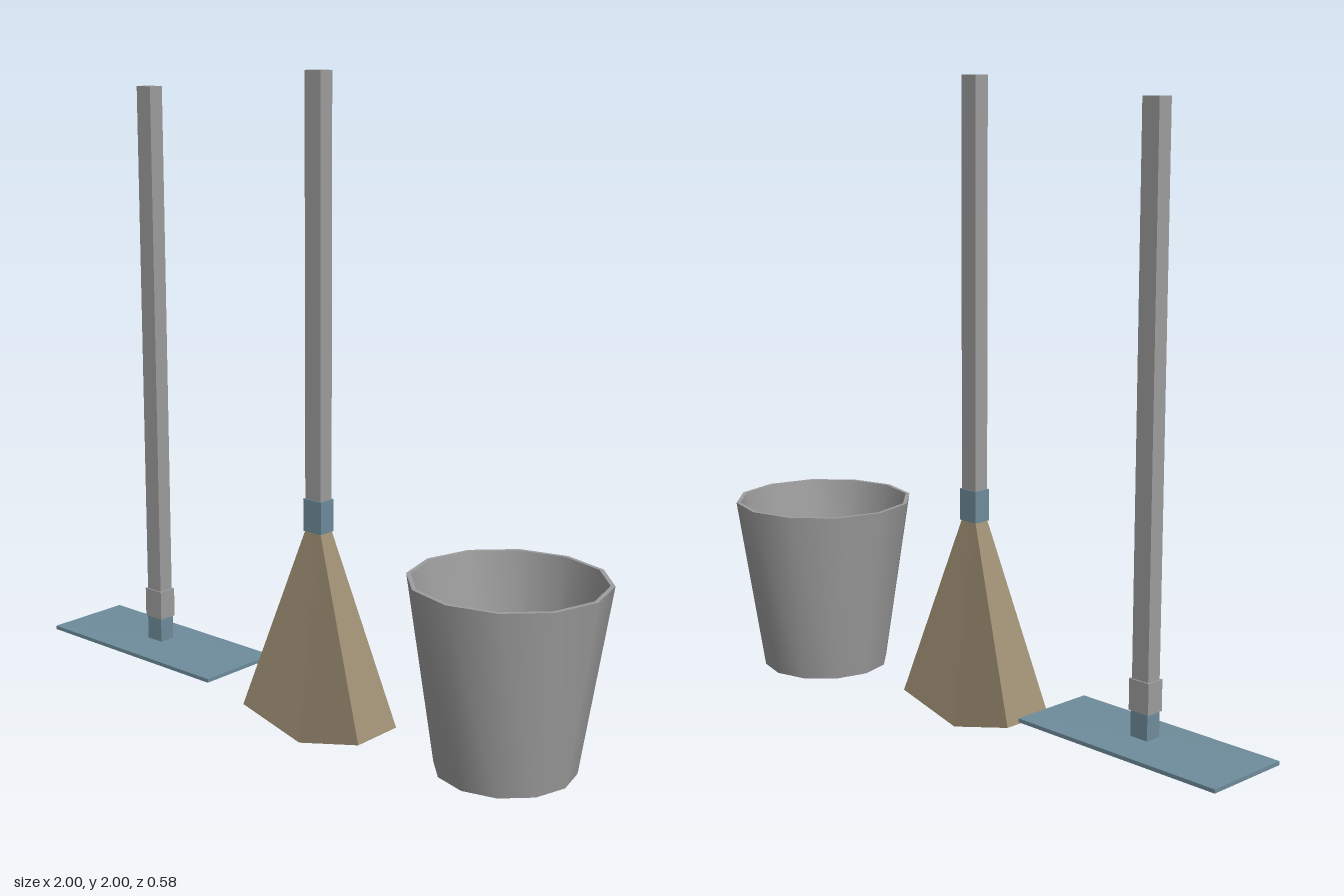
import * as THREE from 'three';
import { toCreasedNormals } from 'three/addons/utils/BufferGeometryUtils.js';

const grey = new THREE.MeshStandardMaterial({ color: 0x9d9d9d });
const blue = new THREE.MeshStandardMaterial({ color: 0x6e8c9b });
const straw = new THREE.MeshStandardMaterial({ color: 0x9e8f73 });

function add(parent, name, geometry, material) {
  const mesh = new THREE.Mesh(geometry, material);
  mesh.name = name;
  parent.add(mesh);
  return mesh;
}

// Four-sided block between heights y0 and y1, with its own width and depth at each end
function block(y0, y1, w0, d0, w1 = w0, d1 = d0, segments = 1, sag = 0) {
  const box = new THREE.BoxGeometry(1, 1, 1, segments, 1, 1);
  const p = box.attributes.position;
  for (let i = 0; i < p.count; i++) {
    const x = p.getX(i), z = p.getZ(i), top = p.getY(i) > 0;
    // the middle of the lower edge hangs down by sag
    const drop = !top && Math.abs(x) < 0.01 ? sag : 0;
    p.setXYZ(i, x * (top ? w1 : w0), (top ? y1 : y0) - drop, z * (top ? d1 : d0));
  }
  const flat = box.toNonIndexed();
  flat.computeVertexNormals();
  return flat;
}

export function createModel() {
  const model = new THREE.Group();
  model.name = 'cleaningSet';

  // Flat mop
  const mop = new THREE.Group();
  mop.name = 'mop';
  mop.position.set(-0.635, 0, 0.074);
  add(mop, 'mopPlate', block(0.12, 0.132, 0.73, 0.285), blue);
  add(mop, 'mopPlateCrown', block(0.132, 0.14, 0.73, 0.285, 0.066, 0.056), blue);
  add(mop, 'mopNeck', block(0.137, 0.218, 0.062, 0.053), blue);
  add(mop, 'mopSocket', block(0.218, 0.312, 0.072, 0.06), grey);
  add(mop, 'mopHandle', block(0.3, 1.936, 0.06, 0.05), grey);

  // Broom
  const broom = new THREE.Group();
  broom.name = 'broom';
  broom.position.set(0.065, 0, 0.074);
  add(broom, 'bristles', block(0.06, 0.65, 0.47, 0.175, 0.06, 0.05, 2, 0.06), straw);
  add(broom, 'broomCollar', block(0.648, 0.747, 0.07, 0.057), blue);
  add(broom, 'broomHandle', block(0.74, 1.997, 0.06, 0.05), grey);

  // Bucket: one profile for outside, rim, inside and floor
  const profile = [
    [0, 0.06], [0.205, 0.06], [0.29, 0.62], [0.277, 0.62], [0.188, 0.08], [0, 0.08],
  ].map(([r, y]) => new THREE.Vector2(r, y));
  const bucket = add(model, 'bucket',
    toCreasedNormals(new THREE.LatheGeometry(profile, 12), Math.PI / 4), grey);
  bucket.position.x = 0.71;

  model.add(mop, broom);
  return model;
}
